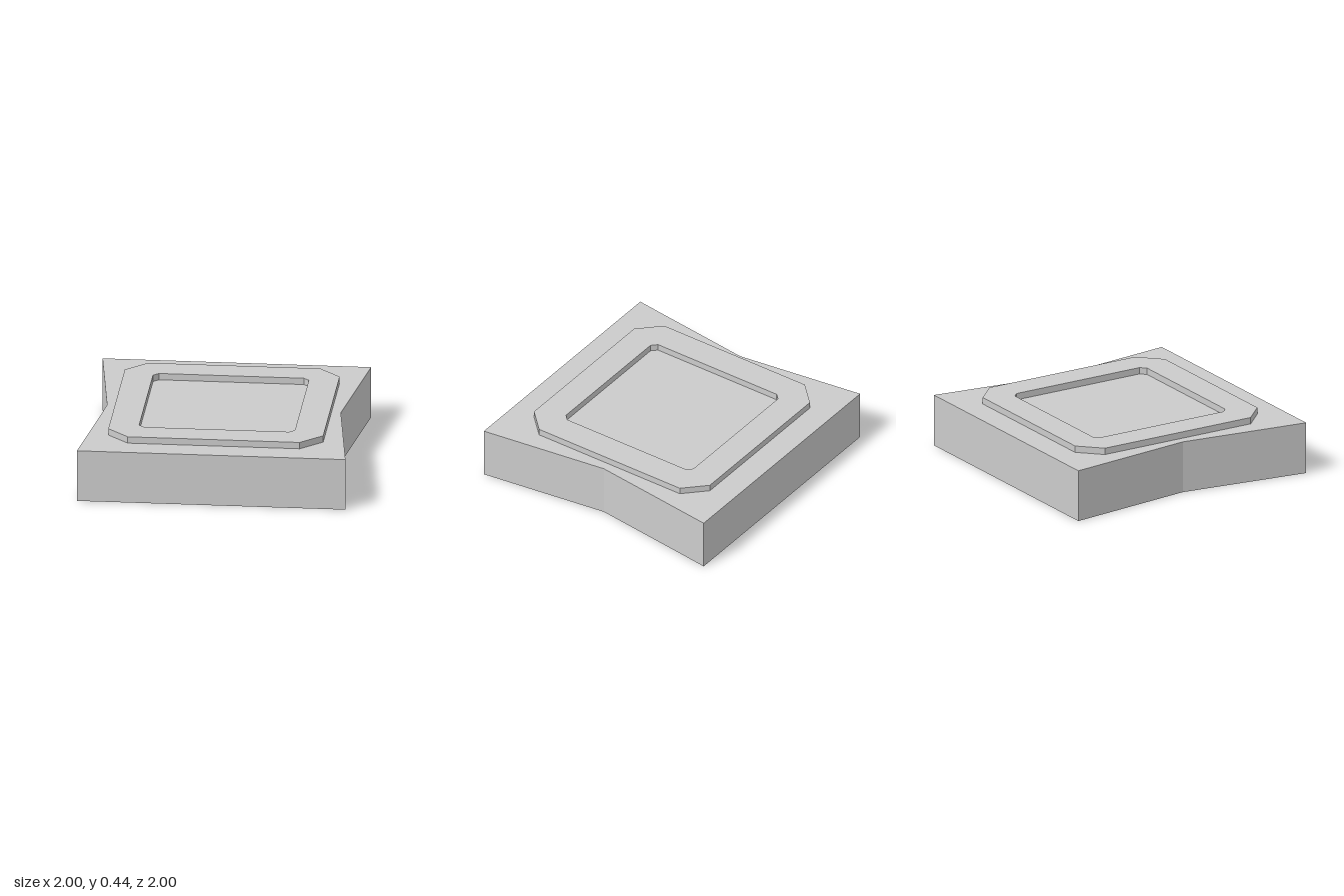
import * as THREE from 'three';

const material = new THREE.MeshStandardMaterial({ color: 0xcccccc, flatShading: true });

// Square outline with cut corners
function chamferedSquare(half, cut) {
  const c = half - cut;
  return [
    [half, -c], [half, c], [c, half], [-c, half],
    [-half, c], [-half, -c], [-c, -half], [c, -half],
  ].map(([x, y]) => new THREE.Vector2(x, y));
}

// Flat outline extruded upward from height y
function slab(name, shape, y, height) {
  const geometry = new THREE.ExtrudeGeometry(shape, { depth: height, bevelEnabled: false });
  geometry.rotateX(-Math.PI / 2);
  const mesh = new THREE.Mesh(geometry, material);
  mesh.name = name;
  mesh.position.y = y;
  return mesh;
}

export function createModel() {
  const group = new THREE.Group();
  group.name = 'pinchedBlock';

  // Base block, its left and right sides pinched in at the middle
  const waist = 0.87;
  const baseShape = new THREE.Shape(
    [[1, -1], [waist, 0], [1, 1], [-1, 1], [-waist, 0], [-1, -1]]
      .map(([x, y]) => new THREE.Vector2(x, y))
  );
  group.add(slab('base', baseShape, 0, 0.395));

  // Raised rim around a shallow square recess
  const rimShape = new THREE.Shape(chamferedSquare(0.8, 0.16));
  rimShape.holes.push(new THREE.Path(chamferedSquare(0.58, 0.04)));
  group.add(slab('rim', rimShape, 0.395, 0.05));

  return group;
}
